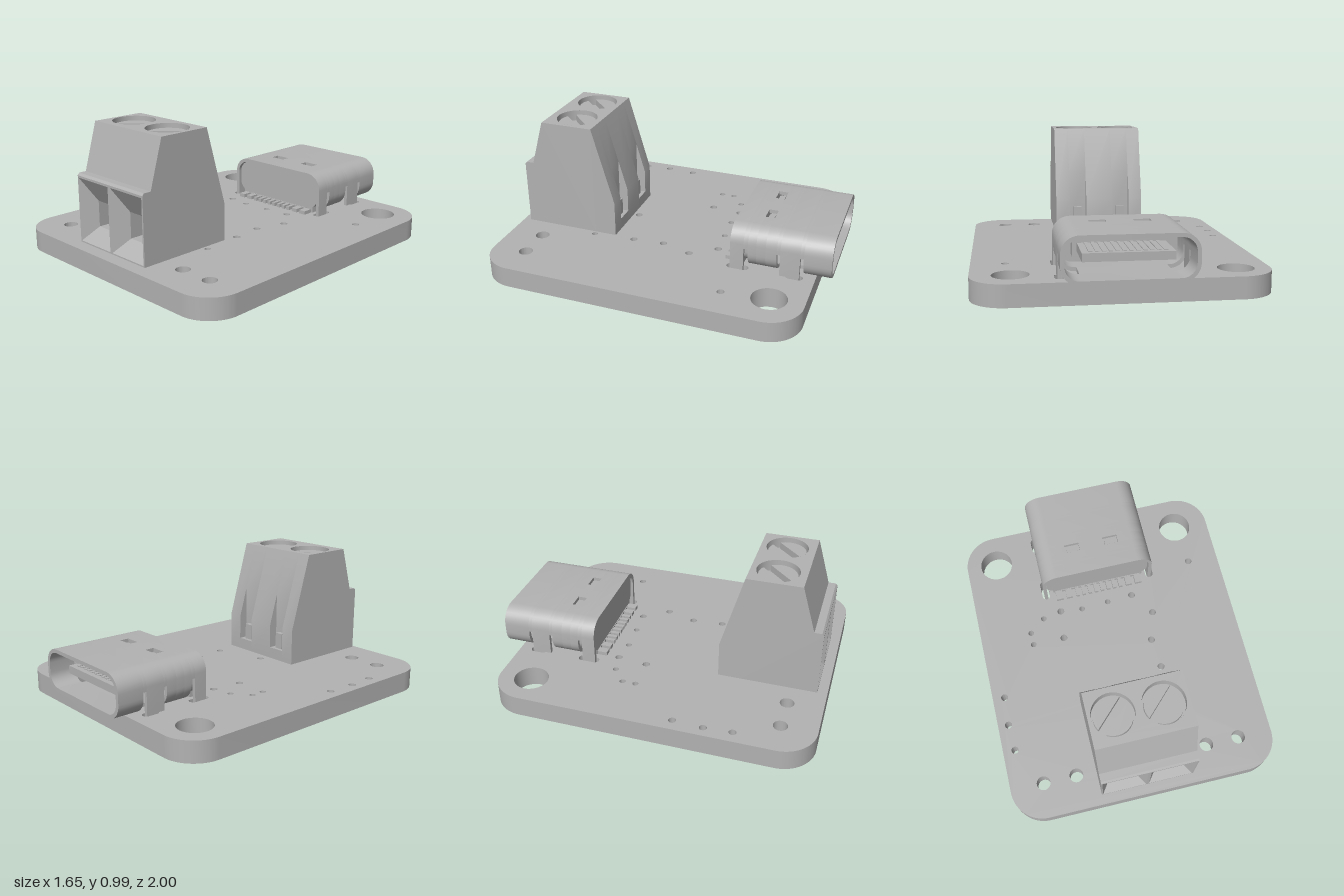
import * as THREE from 'three';
import { toCreasedNormals } from 'three/addons/utils/BufferGeometryUtils.js';

const grey = new THREE.MeshStandardMaterial({ color: 0xb2b2b2, side: THREE.DoubleSide });
grey.name = 'plain grey';

const poly = pts => new THREE.Shape(pts.map(p => new THREE.Vector2(p[0], p[1])));
const rectPts = (x0, x1, y0, y1) => [[x0, y0], [x1, y0], [x1, y1], [x0, y1]];

function add(parent, name, geo) {
  const mesh = new THREE.Mesh(geo, grey);
  mesh.name = name;
  parent.add(mesh);
  return mesh;
}
function box(parent, name, x0, x1, y0, y1, z0, z1) {
  const g = new THREE.BoxGeometry(x1 - x0, y1 - y0, z1 - z0);
  return add(parent, name, g.translate((x0 + x1) / 2, (y0 + y1) / 2, (z0 + z1) / 2));
}
const extrude = (shape, depth) => toCreasedNormals(
  new THREE.ExtrudeGeometry(shape, { depth, bevelEnabled: false, curveSegments: 20 }), 0.6);
// Outline in x,y swept along z
const alongZ = (shape, z0, z1) => extrude(shape, z1 - z0).translate(0, 0, z0);
// Outline in x,z swept downwards from yTop
const downY = (shape, yTop, depth) => extrude(shape, depth).rotateX(Math.PI / 2).translate(0, yTop, 0);
// Outline in z,y swept along x
const alongX = (shape, x0, x1) => extrude(shape, x1 - x0).rotateY(-Math.PI / 2).translate(x1, 0, 0);

function roundRect(x0, x1, y0, y1, r, Type = THREE.Shape) {
  const s = new Type();
  s.moveTo(x0 + r, y0);
  s.absarc(x1 - r, y0 + r, r, -Math.PI / 2, 0);
  s.absarc(x1 - r, y1 - r, r, 0, Math.PI / 2);
  s.absarc(x0 + r, y1 - r, r, Math.PI / 2, Math.PI);
  s.absarc(x0 + r, y0 + r, r, Math.PI, Math.PI * 1.5);
  return s;
}
function circle(x, y, r) {
  const p = new THREE.Path();
  p.absarc(x, y, r, 0, Math.PI * 2);
  return p;
}
// Ruled surface between two matching rows of 3D points
function loft(a, b) {
  const v = [];
  for (let i = 0; i + 1 < a.length; i++) {
    v.push(...a[i], ...a[i + 1], ...b[i + 1], ...a[i], ...b[i + 1], ...b[i]);
  }
  const g = new THREE.BufferGeometry();
  g.setAttribute('position', new THREE.Float32BufferAttribute(v, 3));
  g.computeVertexNormals();
  return g;
}

function buildBoard(root) {
  const s = roundRect(-0.825, 0.825, -0.91, 1, 0.2);
  const holes = [
    [-0.63, -0.71, 0.103], [0.605, -0.71, 0.103],
    [-0.62, 0.79, 0.042], [-0.415, 0.79, 0.042], [0.41, 0.79, 0.042], [0.615, 0.79, 0.042],
    [-0.5, -0.18, 0.018], [-0.5, -0.1, 0.018], [-0.4, -0.26, 0.018], [-0.28, -0.285, 0.022],
    [-0.3, -0.1, 0.022], [-0.14, -0.27, 0.018], [0.035, -0.28, 0.018], [0.2, -0.29, 0.022],
    [0.305, -0.14, 0.022], [0.63, -0.44, 0.022], [0.25, 0.045, 0.022], [0.265, 0.235, 0.022],
    [-0.035, 0.325, 0.022], [0.285, 0.49, 0.018], [-0.75, 0.205, 0.022], [-0.76, 0.385, 0.022],
    [-0.75, 0.55, 0.022], [-0.2, -0.49, 0.022], [0.2, -0.49, 0.022]];
  for (const [x, z, r] of holes) s.holes.push(circle(x, z, r));
  for (const x of [-0.35, 0.35]) {
    s.holes.push(roundRect(x - 0.025, x + 0.025, -0.84, -0.74, 0.024, THREE.Path));
    s.holes.push(roundRect(x - 0.025, x + 0.025, -0.52, -0.39, 0.024, THREE.Path));
  }
  add(root, 'circuitBoard', downY(s, 0.285, 0.125));
}

function buildSocket(root) {
  const g = new THREE.Group();
  g.name = 'socket';
  root.add(g);
  const W = 0.362, B = 0.288, T = 0.545, R = 0.1, t = 0.022;
  // Outer and inner points of one rounded corner
  const corner = (sx, top, a0) => Array.from({ length: 9 }, (_, i) => {
    const a = a0 + i / 8 * Math.PI / 2, cx = sx * (W - R), cy = top ? T - R : B + R;
    return [R, R - t].map(r => [cx + r * Math.cos(a), cy + r * Math.sin(a)]);
  });
  const H = Math.PI / 2;
  const band = pairs => poly([...pairs.map(p => p[0]), ...pairs.map(p => p[1]).reverse()]);
  const wrap = x => band([[[-x, T], [-x, T - t]], ...corner(-1, true, H), ...corner(-1, false, 2 * H),
    ...corner(1, false, 3 * H), ...corner(1, true, 0), [[x, T], [x, T - t]]]);
  const arch = y => band([[[W, y], [W - t, y]], ...corner(1, true, 0), ...corner(-1, true, H),
    [[-W, y], [-W + t, y]]]);

  // Shell in slices: full tube, slotted sides, and legs that enter the board
  const full = wrap(0), slit = arch(0.42), legs = arch(0.23);
  const slices = [[full, -1, -0.84], [slit, -0.84, -0.82], [legs, -0.82, -0.705], [slit, -0.705, -0.685],
    [full, -0.685, -0.62], [full, -0.565, -0.515], [slit, -0.515, -0.49], [legs, -0.49, -0.41]];
  for (const [shape, z0, z1] of slices) add(g, 'shell', alongZ(shape, z0, z1));
  // Slice with the two top windows
  add(g, 'shell', alongZ(wrap(0.173), -0.62, -0.565));
  box(g, 'windowBridge', -0.078, 0.078, T - t, T, -0.62, -0.565);
  for (const x of [-0.125, 0.125]) box(g, 'windowSpring', x - 0.035, x + 0.035, 0.5, 0.525, -0.61, -0.575);
  box(g, 'shellFloor', -0.25, 0.25, B, B + t, -0.85, -0.42);

  // Plastic core, tongue and contacts
  add(g, 'core', alongZ(roundRect(-0.335, 0.335, 0.312, 0.52, 0.075), -0.56, -0.425));
  box(g, 'coreFoot', -0.3, 0.3, 0.288, 0.4, -0.48, -0.425);
  box(g, 'tongueRoot', -0.27, 0.27, 0.36, 0.47, -0.66, -0.56);
  box(g, 'tongue', -0.245, 0.245, 0.392, 0.438, -0.93, -0.6);
  for (let i = 0; i < 12; i++) {
    const x = (i - 5.5) * 0.036;
    box(g, 'contact', x - 0.01, x + 0.01, 0.388, 0.442, -0.9, -0.66);
  }
  // Solder tails
  for (const s of [-1, 1]) {
    box(g, 'wideTail', s * 0.265 - 0.022, s * 0.265 + 0.022, 0.283, 0.308, -0.44, -0.362);
    box(g, 'wideTail', s * 0.2 - 0.02, s * 0.2 + 0.02, 0.283, 0.308, -0.44, -0.362);
  }
  for (let i = 0; i < 8; i++) {
    const x = (i - 3.5) * 0.041;
    box(g, 'thinTail', x - 0.011, x + 0.011, 0.283, 0.308, -0.44, -0.362);
  }
}

function buildTerminal(root) {
  const g = new THREE.Group();
  g.name = 'screwTerminal';
  root.add(g);
  const X0 = -0.29, X1 = 0.28, Y0 = 0.3, Y1 = 0.985, ZM = 0.484, ZF = 0.943;
  const centres = [-0.15, 0.135];

  // Rear half, cut by two upright notches
  const solid = poly([[0.35, Y0], [ZM, Y0], [ZM, Y1], [0.35, 0.52]]);
  const notched = poly([[0.35, Y0], [ZM, Y0], [ZM, Y1], [0.405, 0.711], [0.405, 0.37], [0.35, 0.37]]);
  const cuts = [X0, -0.205, -0.095, 0.08, 0.19, X1];
  for (let i = 0; i < 5; i++) add(g, 'rearBody', alongX(i % 2 ? notched : solid, cuts[i], cuts[i + 1]));
  for (const x of centres) box(g, 'notchClip', x - 0.026, x + 0.026, 0.37, 0.47, 0.373, 0.405);

  // Front half as a hollow housing
  const profile = [[ZM, Y0], [ZF, Y0], [ZF, 0.695], [0.932, 0.708], [0.887, 0.708], [0.806, Y1], [ZM, Y1]];
  for (const x of [X0, X1]) {
    add(g, 'sideWall', new THREE.ShapeGeometry(poly(profile)).rotateY(-Math.PI / 2).translate(x, 0, 0));
  }
  const row = (x, pts) => pts.map(p => [x, p[1], p[0]]);
  add(g, 'shoulder', loft(row(X0, profile.slice(2, 6)), row(X1, profile.slice(2, 6))));
  add(g, 'underside', loft(row(X0, profile.slice(0, 2)), row(X1, profile.slice(0, 2))));

  // Wire entries: funnel, square throat and end wall
  const face = poly(rectPts(X0, X1, Y0, 0.695));
  const mouths = [[-0.283, -0.016], [0.003, 0.27]];
  for (const [a, b] of mouths) {
    face.holes.push(new THREE.Path(rectPts(a, b, 0.308, 0.682).map(p => new THREE.Vector2(...p))));
    const m = (a + b) / 2;
    const loop = (x0, x1, y0, y1, z) => [...rectPts(x0, x1, y0, y1), [x0, y0]].map(p => [...p, z]);
    const rim = loop(a, b, 0.308, 0.682, ZF);
    const throat = loop(m - 0.07, m + 0.07, 0.388, 0.542, 0.86);
    const end = loop(m - 0.07, m + 0.07, 0.388, 0.542, 0.6);
    add(g, 'wireFunnel', loft(rim, throat));
    add(g, 'wireThroat', loft(throat, end));
    add(g, 'throatEnd', new THREE.PlaneGeometry(0.14, 0.154).translate(m, 0.465, 0.6));
  }
  add(g, 'frontFace', new THREE.ShapeGeometry(face).translate(0, 0, ZF));

  // Top with two screw wells
  const top = poly(rectPts(X0, X1, ZM, 0.806));
  for (const x of centres) top.holes.push(circle(x, 0.64, 0.123));
  add(g, 'topFace', new THREE.ShapeGeometry(top, 32).scale(1, 1, -1).rotateX(Math.PI / 2).translate(0, Y1, 0));
  for (const x of centres) {
    add(g, 'screwWell', new THREE.CylinderGeometry(0.123, 0.123, 0.08, 48, 1, true).translate(x, Y1 - 0.04, 0.64));
    add(g, 'screwBase', new THREE.CylinderGeometry(0.123, 0.123, 0.02, 48).translate(x, 0.91, 0.64));
    for (const a of [Math.PI / 4, Math.PI * 1.25]) {
      const half = new THREE.Shape();
      half.absarc(0, 0, 0.112, a - 1.34, a + 1.34);
      add(g, 'screwHead', downY(half, 0.96, 0.045).translate(x, 0, 0.64));
    }
    // Solder pin with tapered tip
    const pin = poly([[x - 0.037, 0.31], [x - 0.037, 0.065], [x - 0.013, 0], [x + 0.013, 0],
      [x + 0.037, 0.065], [x + 0.037, 0.31]]);
    add(g, 'solderPin', alongZ(pin, 0.625, 0.675));
  }
}

export function createModel() {
  const root = new THREE.Group();
  root.name = 'powerBreakoutBoard';
  buildBoard(root);
  buildSocket(root);
  buildTerminal(root);
  return root;
}
